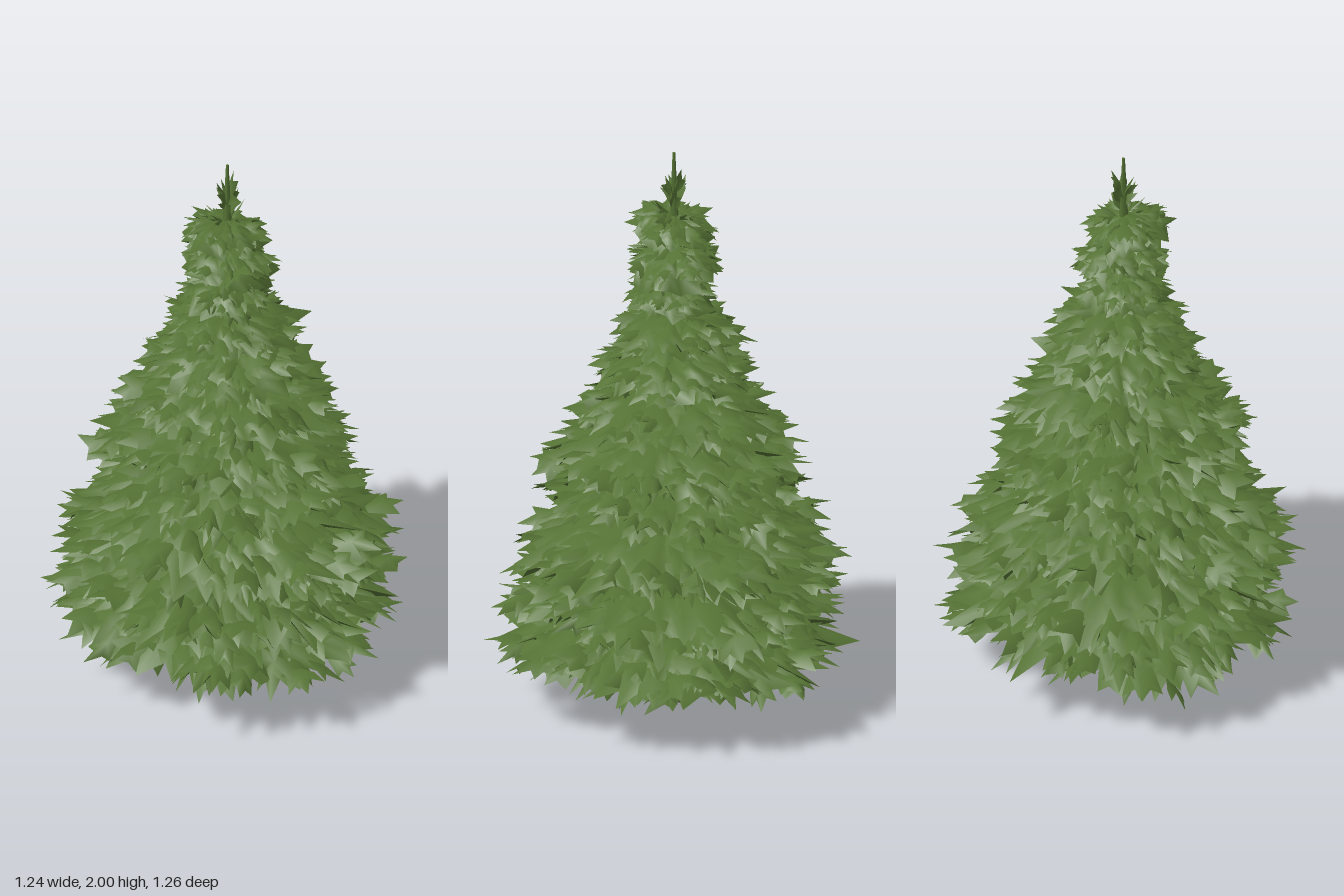
import * as THREE from 'three';

// small seeded generator so the tree grows the same every time
function seeded(seed) {
  return () => {
    seed = (seed * 1664525 + 1013904223) >>> 0;
    return seed / 4294967296;
  };
}
const rand = seeded(41);
const jitter = (amount) => (rand() - 0.5) * 2 * amount;

// [top y, underside y, radius, x offset, x tilt, z tilt]
const TIERS = [
  [0.34, 0.22, 0.6, 0, -0.01, 0],
  [0.5, 0.39, 0.585, 0, 0, -0.01],
  [0.69, 0.575, 0.55, 0, 0.02, -0.03],
  [0.85, 0.77, 0.46, 0, -0.02, 0.04],
  [1.0, 0.91, 0.435, 0, -0.05, -0.01],
  [1.125, 1.055, 0.365, 0.01, 0, 0.01],
  [1.275, 1.19, 0.285, 0.01, 0.02, 0],
  [1.4, 1.335, 0.24, 0.03, -0.06, 0.01],
  [1.525, 1.45, 0.165, -0.01, -0.06, 0.02],
  [1.655, 1.57, 0.17, 0.01, -0.12, -0.08],
  [1.77, 1.7, 0.155, -0.02, -0.16, 0.08],
];

function makeGeometry(positions, index) {
  const geo = new THREE.BufferGeometry();
  geo.setAttribute('position', new THREE.Float32BufferAttribute(positions, 3));
  geo.setIndex(index);
  geo.computeVertexNormals();
  return geo;
}

// Half outline of a frond: [distance along, half width, lift]
const FROND = [[0, 0.18, -0.02], [0.35, 0.36, -0.1], [0.66, 0.44, -0.16], [0.62, 0.17, -0.05]];

// Adds one barbed, ridged frond pointing away from its root (positive pitch droops)
function addFrond(pos, index, root, yaw, pitch, length, width, roll) {
  const start = pos.length / 3;
  const turn = new THREE.Euler(roll, -yaw, -pitch, 'YZX');
  const points = [[0.45, 0.05, 0]]; // raised ridge, the centre of the fan
  FROND.forEach(([d, w, y]) => points.push([d + jitter(0.1), y + jitter(0.06), w]));
  points.push([1, -0.06, jitter(0.15)]);
  [...FROND].reverse().forEach(([d, w, y]) => points.push([d + jitter(0.1), y + jitter(0.06), -w]));
  points.forEach(([x, y, z]) => {
    const v = new THREE.Vector3(x * length, y * length, z * width).applyEuler(turn).add(root);
    pos.push(v.x, v.y, v.z);
  });
  const n = points.length - 1;
  for (let i = 0; i < n; i++) index.push(start, start + 1 + i, start + 1 + ((i + 1) % n));
}

// Tier of foliage: star-edged sheets over a flat underside, with fronds along the rim
function tierGeometry([top, bottom, R, dx, tiltX, tiltZ]) {
  const pos = [], index = [];
  const phase = rand() * 6.28;
  const depth = top - bottom;
  const reach = (a) => R * (0.97 + 0.04 * Math.sin(3 * a + phase) + 0.03 * Math.sin(7 * a + 2 * phase));
  // point at a given angle, radius and share of the tier's depth
  const place = (a, r, sink) => {
    const x = Math.cos(a) * r, z = Math.sin(a) * r;
    const t = r / R;
    const wave = t * (0.012 * Math.sin(5 * a + phase) + 0.007 * Math.sin(11 * a));
    return new THREE.Vector3(x + dx * t, top - depth * sink + wave + tiltX * x + tiltZ * z, z);
  };
  const slope = (t) => 0.75 * Math.pow(t, 2); // sink of the upper surface

  // sheet made of rings [radius fraction, sink]; the last ring can be a star of tips and notches
  const sides = 2 * Math.round(9 + R * 36);
  const addSheet = (rings, star, up) => {
    const start = pos.length / 3;
    rings.forEach(([f, sink], k) => {
      const rim = star && k === rings.length - 1;
      for (let i = 0; i < sides; i++) {
        const notch = rim ? (i % 2 ? 0.8 : 1 + jitter(0.09)) : 1;
        const a = ((i + (rim ? jitter(0.5) : 0)) / sides) * Math.PI * 2;
        const p = place(a, reach(a) * f * notch, sink + (rim ? jitter(0.25) : k > 1 ? jitter(0.06) : 0));
        pos.push(p.x, p.y, p.z);
      }
    });
    for (let k = 0; k < rings.length - 1; k++) {
      for (let i = 0; i < sides; i++) {
        const j = (i + 1) % sides;
        const a = start + k * sides + i, b = start + k * sides + j, c = a + sides, d = b + sides;
        if (up) index.push(a, b, c, b, d, c);
        else index.push(a, c, b, b, c, d);
      }
    }
  };
  addSheet([[0.03, 0.05], [0.35, 0.15], [0.6, 0.35], [0.78, 0.6], [1, 0.95]], true, true);
  addSheet([[0.03, 0], [0.3, 0.05], [0.5, 0.15], [0.66, 0.3], [0.86, 0.6]], true, true);
  addSheet([[0.03, 1], [0.4, 1], [0.65, 0.95], [0.8, 0.85]], false, false);

  // frond rings: [tip radius fraction, count factor, pitch, extra sink]
  const size = 0.065 + R * 0.17;
  const layers = [[0.5, 14, 0.05, 0], [0.75, 30, 0.1, 0], [0.92, 44, 0.2, 0.1], [1.02, 60, 0.12, 0.25], [0.96, 50, 0.35, 0.4]];
  layers.forEach(([f, factor, pitch, sink]) => {
    const count = Math.round(4 + R * factor);
    for (let i = 0; i < count; i++) {
      const a = ((i + rand() * 0.9) / count) * Math.PI * 2;
      const length = size * (0.75 + 0.5 * rand());
      const tip = reach(a) * f * (1 + jitter(0.07));
      const r = Math.max(0.01, tip - length * 0.95 * Math.cos(pitch));
      const root = place(a, r, slope(r / R) + sink - 0.1 * rand());
      addFrond(pos, index, root, a + jitter(0.6), pitch + jitter(0.25),
        length, size * (0.5 + 0.6 * rand()), jitter(0.6));
    }
  });
  return makeGeometry(pos, index);
}

export function createModel() {
  const tree = new THREE.Group();
  tree.name = 'coniferTree';
  const needles = new THREE.MeshStandardMaterial({ color: 0x567335, side: THREE.DoubleSide });
  needles.name = 'needle green';
  const bark = new THREE.MeshStandardMaterial({ color: 0x4d432b });
  bark.name = 'bark brown';

  const add = (name, geometry, material, y = 0) => {
    const mesh = new THREE.Mesh(geometry, material);
    mesh.name = name;
    mesh.position.y = y;
    tree.add(mesh);
  };

  // trunk, with a thin green stem running on up through the tiers
  add('trunk', new THREE.CylinderGeometry(0.038, 0.064, 0.5, 6), bark, 0.25);
  add('upperStem', new THREE.CylinderGeometry(0.008, 0.034, 1.36, 6), needles, 1.18);

  // foliage tiers
  TIERS.forEach((tier, i) => add('foliageTier' + (i + 1), tierGeometry(tier), needles));

  // leading shoot at the top, with rising blades around its foot
  add('topSpike', new THREE.CylinderGeometry(0.005, 0.016, 0.24, 5), needles, 1.88);
  const pos = [], index = [];
  for (let i = 0; i < 14; i++) {
    const high = i > 7;
    const root = new THREE.Vector3(0, high ? 1.79 + 0.012 * (i - 8) : 1.745, 0);
    addFrond(pos, index, root, i * 2.4, high ? -1.25 : -0.6 + jitter(0.4), 0.11, high ? 0.045 : 0.03, 0);
  }
  add('topShoots', makeGeometry(pos, index), needles);

  return tree;
}
